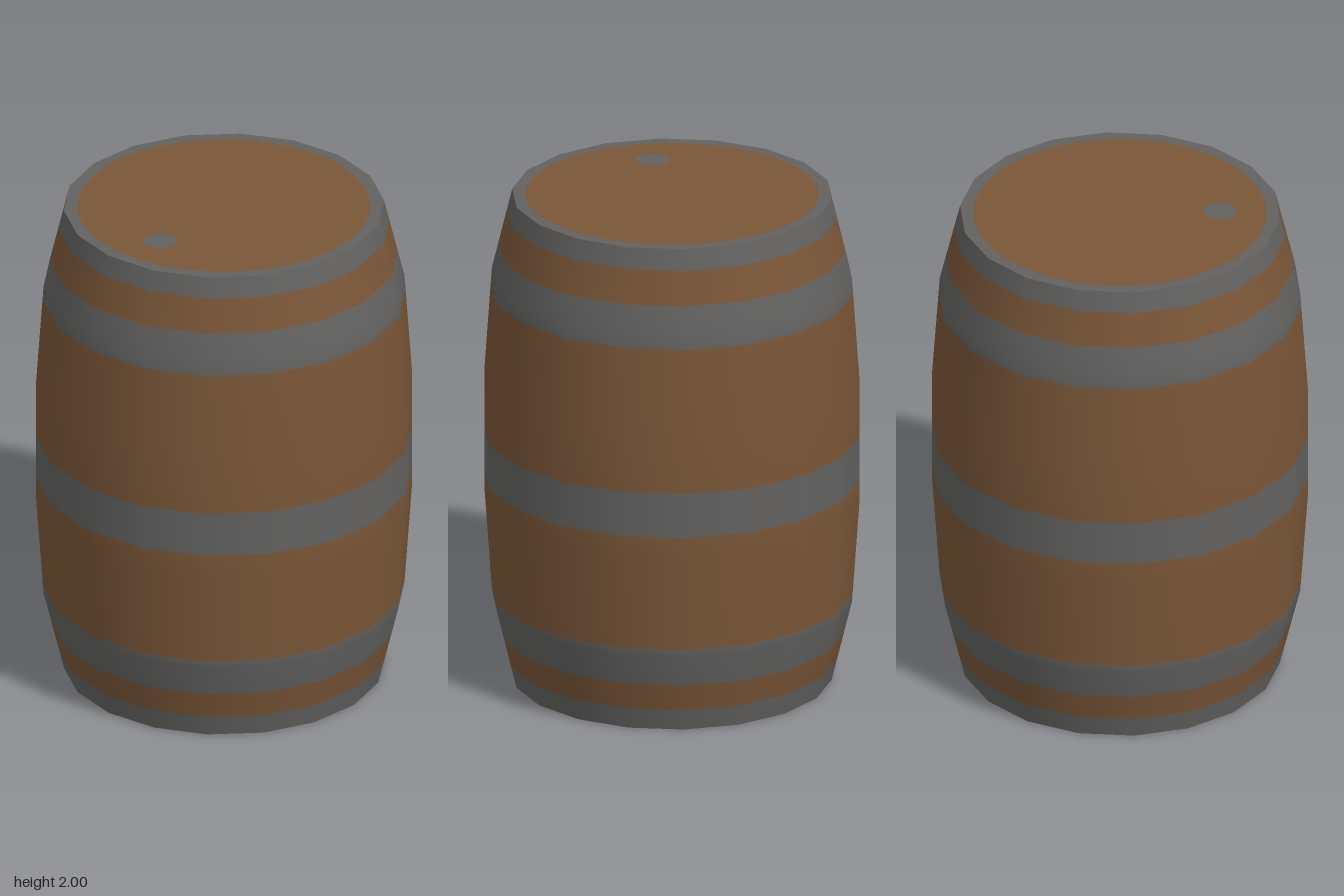
import * as THREE from 'three';

const SIDES = 18;

export function createModel() {
  const model = new THREE.Group();
  model.name = 'barrel';

  const wood = new THREE.MeshStandardMaterial({ color: 0x7a5638 });
  wood.name = 'brown wood';
  const iron = new THREE.MeshStandardMaterial({ color: 0x636261 });
  iron.name = 'grey iron';

  const add = (name, geometry, material) => {
    const mesh = new THREE.Mesh(geometry, material);
    mesh.name = name;
    model.add(mesh);
    return mesh;
  };

  // Bulging outline (height, radius) and the flush hoops (bottom, top)
  const outline = [[0, 0.627], [0.33, 0.707], [0.76, 0.737], [1.24, 0.737], [1.67, 0.707], [2, 0.627]];
  const hoops = [[0, 0.087], [0.2, 0.36], [0.837, 1.02], [1.61, 1.78], [1.917, 2]];
  const radiusAt = (y) => {
    const i = Math.max(1, outline.findIndex((p) => p[0] >= y));
    const [y0, r0] = outline[i - 1];
    const [y1, r1] = outline[i];
    return r0 + ((r1 - r0) * (y - y0)) / (y1 - y0);
  };

  // Side wall: one smooth lathe, its rows sorted into wood and iron
  const heights = [...new Set([...outline.map((p) => p[0]), ...hoops.flat()])].sort((a, b) => a - b);
  const rows = heights.length;
  const wall = new THREE.LatheGeometry(
    heights.map((y) => new THREE.Vector2(radiusAt(y), y)), SIDES, Math.PI / 2);
  const woodFaces = [];
  const ironFaces = [];
  for (let j = 0; j < rows - 1; j++) {
    const middle = (heights[j] + heights[j + 1]) / 2;
    const faces = hoops.some(([a, b]) => middle > a && middle < b) ? ironFaces : woodFaces;
    for (let i = 0; i < SIDES; i++) {
      const a = i * rows + j;
      const b = a + rows;
      faces.push(a, b, a + 1, b + 1, a + 1, b);
    }
  }
  wall.setIndex([...woodFaces, ...ironFaces]);
  wall.clearGroups();
  wall.addGroup(0, woodFaces.length, 0);
  wall.addGroup(woodFaces.length, ironFaces.length, 1);
  add('stavesAndHoops', wall, [wood, iron]);

  // Flat lid pieces, fitted into each other
  const circle = (x, y, r, n) => Array.from({ length: n }, (_, i) => {
    const t = (i / n) * Math.PI * 2;
    return new THREE.Vector2(x + r * Math.cos(t), y + r * Math.sin(t));
  });
  const flat = (outer, hole) => {
    const shape = new THREE.Shape(outer);
    if (hole) shape.holes.push(new THREE.Path(hole));
    return new THREE.ShapeGeometry(shape).rotateX(-Math.PI / 2);
  };
  const edge = circle(0, 0, 0.627, SIDES);
  const lidEdge = circle(0, 0, 0.573, 54);
  const bungEdge = circle(-0.022, -0.392, 0.066, 24);
  add('topRim', flat(edge, lidEdge), iron).position.y = 2;
  add('lid', flat(lidEdge, bungEdge), wood).position.y = 2;
  add('bung', flat(bungEdge), iron).position.y = 2;

  // Plain wooden underside
  add('base', flat(edge).rotateX(Math.PI), wood);

  return model;
}
